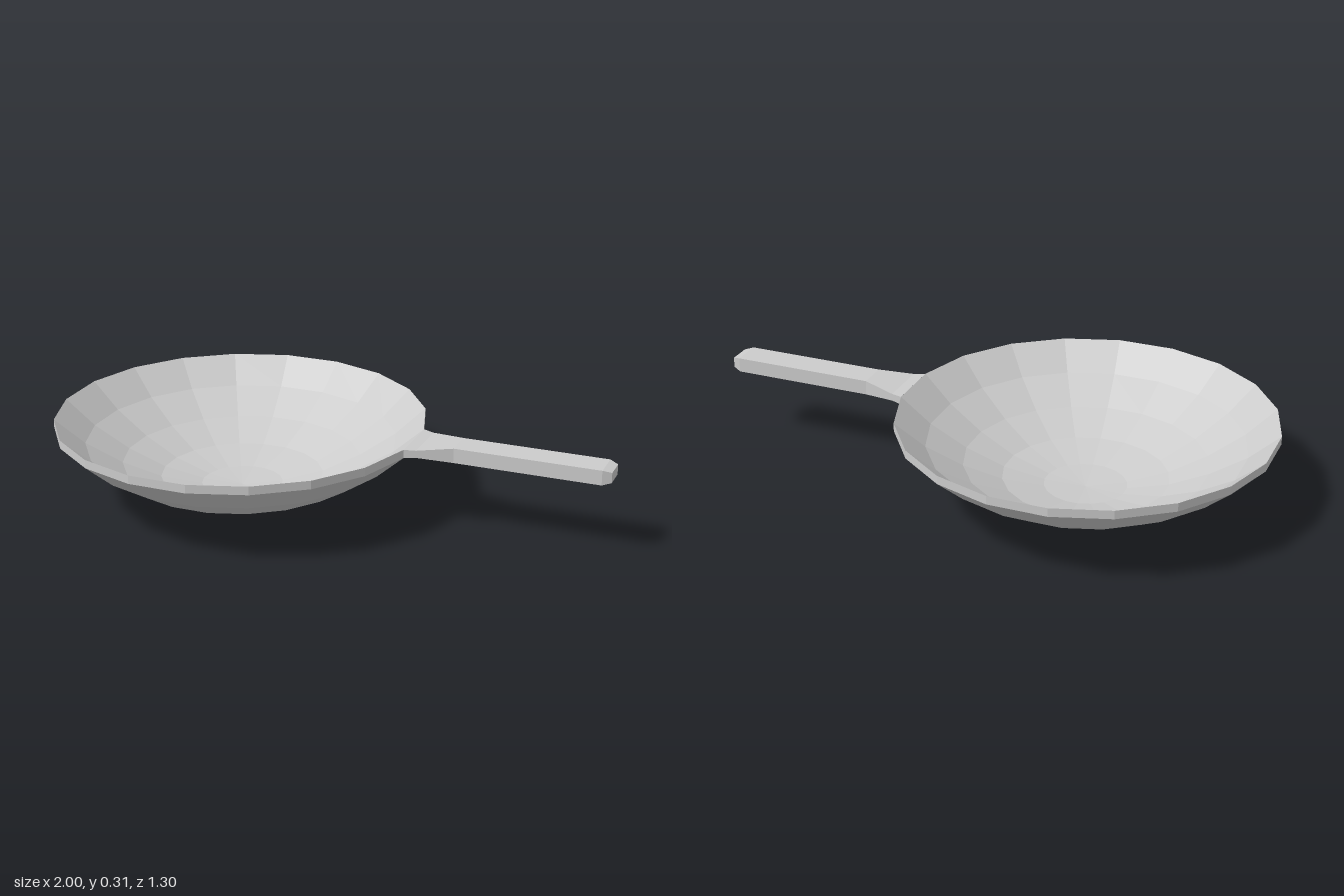
import * as THREE from 'three';

const material = new THREE.MeshStandardMaterial({ color: 0xcccccc, flatShading: true });

// Bowl: thin shell, the inside is the outside profile raised by the thickness
function makeBowl() {
  const sides = 20, thickness = 0.03;
  const outer = [[0, 0], [0.145, 0.01], [0.29, 0.042], [0.425, 0.1], [0.553, 0.178], [0.658, 0.27]];
  const inner = outer.map(([r, y]) => [r, y + thickness]).reverse();
  const profile = [...outer, ...inner].map(([r, y]) => new THREE.Vector2(r, y));
  // half a step of turn puts a flat side towards the handle
  const bowl = new THREE.Mesh(new THREE.LatheGeometry(profile, sides, Math.PI / sides), material);
  bowl.name = 'bowl';
  bowl.position.x = -0.35;
  return bowl;
}

// Handle: rectangular sections joined along x
function makeHandle() {
  // x, half width, bottom, top
  const sections = [
    [0.3, 0.103, 0.27, 0.3],
    [0.34, 0.09, 0.272, 0.298],
    [0.46, 0.053, 0.258, 0.31],
    [0.97, 0.053, 0.258, 0.31],
    [1.0, 0.04, 0.266, 0.302],
  ];
  const positions = [], index = [];
  for (const [x, w, low, high] of sections) {
    positions.push(x, low, w, x, low, -w, x, high, -w, x, high, w);
  }
  const quad = (a, b, c, d) => index.push(a, b, c, a, c, d);
  for (let s = 0; s < sections.length - 1; s++) {
    for (let k = 0; k < 4; k++) {
      const a = s * 4 + k, b = s * 4 + (k + 1) % 4;
      quad(a, b, b + 4, a + 4);
    }
  }
  // end cap
  const e = (sections.length - 1) * 4;
  quad(e, e + 1, e + 2, e + 3);

  const geometry = new THREE.BufferGeometry();
  geometry.setAttribute('position', new THREE.Float32BufferAttribute(positions, 3));
  geometry.setIndex(index);
  const flat = geometry.toNonIndexed();
  flat.computeVertexNormals();
  const handle = new THREE.Mesh(flat, material);
  handle.name = 'handle';
  return handle;
}

export function createModel() {
  const group = new THREE.Group();
  group.name = 'wok';
  group.add(makeBowl(), makeHandle());
  return group;
}
